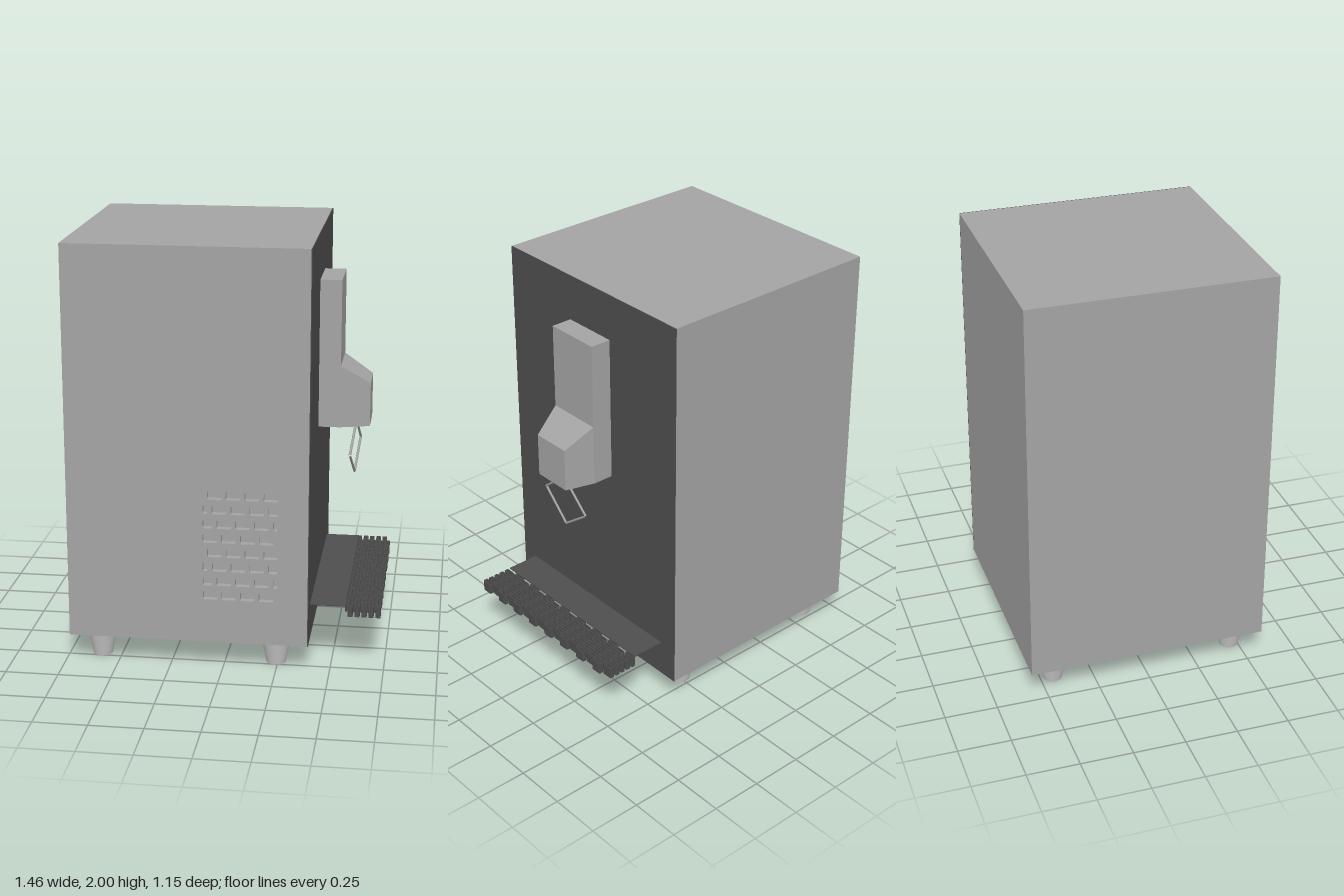
import * as THREE from 'three';

const mat = (name, color, side = THREE.FrontSide) => {
  const m = new THREE.MeshStandardMaterial({ color, side });
  m.name = name;
  return m;
};

export function createModel() {
  const grey = mat('brushed grey', 0xa4a4a4);
  const dark = mat('dark grey', 0x4e4e4e, THREE.DoubleSide);
  const light = mat('light grey', 0xc4c4c4);
  const model = new THREE.Group();

  const add = (name, geo, material, parent = model) => {
    const mesh = new THREE.Mesh(geo, material);
    mesh.name = name;
    parent.add(mesh);
    return mesh;
  };
  const box = (name, x0, x1, y0, y1, z0, z1, material) => {
    const geo = new THREE.BoxGeometry(x1 - x0, y1 - y0, z1 - z0);
    geo.translate((x0 + x1) / 2, (y0 + y1) / 2, (z0 + z1) / 2);
    return add(name, geo, material);
  };
  // Rectangle with clipped or rounded corners, usable as shape or hole
  const rounded = (path, x0, x1, y0, y1, r) => {
    path.moveTo(x0 + r, y0);
    path.lineTo(x1 - r, y0);
    path.quadraticCurveTo(x1, y0, x1, y0 + r);
    path.lineTo(x1, y1 - r);
    path.quadraticCurveTo(x1, y1, x1 - r, y1);
    path.lineTo(x0 + r, y1);
    path.quadraticCurveTo(x0, y1, x0, y1 - r);
    path.lineTo(x0, y0 + r);
    path.quadraticCurveTo(x0, y0, x0 + r, y0);
    return path;
  };

  // Cabinet with a dark dispensing face
  box('cabinet', -0.73, 0.396, 0.13, 2, -0.575, 0.545, grey);
  box('dispensingPanel', 0.396, 0.4, 0.13, 2, -0.575, 0.575, dark);

  // Side panel with a staggered field of vent slots
  const panel = new THREE.Shape();
  panel.moveTo(-0.73, 0.13);
  panel.lineTo(0.396, 0.13);
  panel.lineTo(0.396, 2);
  panel.lineTo(-0.73, 2);
  panel.closePath();
  const left = -0.092, right = 0.256, pitch = 0.0873;
  for (let row = 0; row < 8; row++) {
    const y = 0.852 - row * 0.07;
    const start = -0.071 + (row % 4) * 0.0218 - pitch;
    for (let i = 0; i < 6; i++) {
      const x0 = Math.max(left, start + i * pitch);
      const x1 = Math.min(right, start + i * pitch + 0.068);
      if (x1 - x0 > 0.015) {
        panel.holes.push(rounded(new THREE.Path(), x0, x1, y - 0.02, y + 0.02, 0.006));
      }
    }
  }
  const panelGeo = new THREE.ExtrudeGeometry(panel, { depth: 0.03, bevelEnabled: false, curveSegments: 3 });
  panelGeo.translate(0, 0, 0.545);
  add('ventPanel', panelGeo, grey);

  // Tapered feet
  for (const x of [-0.595, 0.24]) {
    for (const z of [-0.44, 0.46]) {
      const foot = add('foot', new THREE.CylinderGeometry(0.071, 0.046, 0.13, 32), light);
      foot.position.set(x, 0.065, z);
    }
  }

  // Dispenser: upright housing and a nozzle tapering outward
  const midZ = 0.007;
  box('dispenserHousing', 0.4, 0.502, 1.073, 1.78, midZ - 0.139, midZ + 0.139, grey);
  const nozzle = new THREE.BoxGeometry(0.14, 1, 1);
  const p = nozzle.attributes.position;
  for (let i = 0; i < p.count; i++) {
    const outer = p.getX(i) > 0;
    const top = outer ? 1.283 : 1.372;
    p.setXYZ(i, outer ? 0.641 : 0.5, p.getY(i) > 0 ? top : 1.073,
      midZ + Math.sign(p.getZ(i)) * (outer ? 0.098 : 0.139));
  }
  const nozzleFlat = nozzle.toNonIndexed();
  nozzleFlat.computeVertexNormals();
  add('dispenserNozzle', nozzleFlat, grey);

  // Diamond-shaped wire lever below the nozzle
  const corners = [
    [0.572, 1.075, 0.007], [0.584, 0.943, -0.163], [0.567, 0.816, 0.007], [0.553, 0.943, 0.17],
  ].map((c) => new THREE.Vector3(...c));
  const lever = new THREE.Group();
  lever.name = 'lever';
  model.add(lever);
  corners.forEach((a, i) => {
    const rod = new THREE.LineCurve3(a, corners[(i + 1) % 4]);
    add('leverRod', new THREE.TubeGeometry(rod, 1, 0.006, 6), grey, lever);
  });

  // Drip tray: flat shelf and a staggered grating of open cells
  box('dripShelf', 0.4, 0.565, 0.305, 0.31, -0.483, 0.49, dark);
  const grating = new THREE.Group();
  grating.name = 'dripGrating';
  model.add(grating);
  const cell = rounded(new THREE.Shape(), -0.0115, 0.0115, -0.028, 0.028, 0.005);
  cell.holes.push(rounded(new THREE.Path(), -0.0075, 0.0075, -0.024, 0.024, 0.004));
  const cellGeo = new THREE.ExtrudeGeometry(cell, { depth: 0.055, bevelEnabled: false, curveSegments: 2 });
  cellGeo.rotateX(-Math.PI / 2);
  for (let row = 0; row < 16; row++) {
    for (let i = 0; i < 5; i++) {
      const c = add('gratingCell', cellGeo, dark, grating);
      c.position.set(0.572 + i * 0.0325 + (row % 2) * 0.0165, 0.255, -0.455 + row * 0.0611);
    }
  }
  return model;
}
